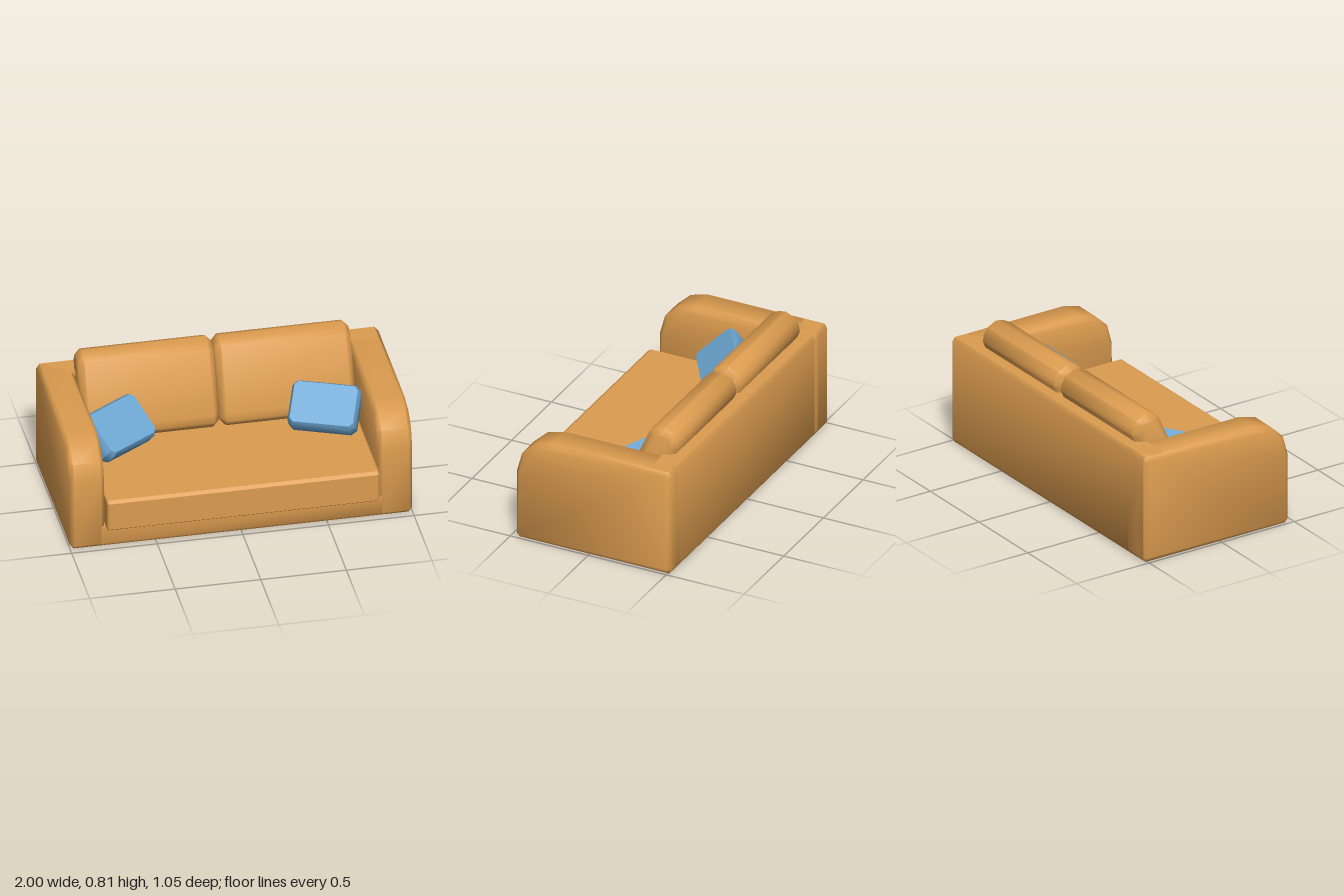
import * as THREE from 'three';
import { toCreasedNormals } from 'three/addons/utils/BufferGeometryUtils.js';

const fabric = new THREE.MeshStandardMaterial({ name: 'tanFabric', color: 0xdc9c4f });
const pillowBlue = new THREE.MeshStandardMaterial({ name: 'bluePillow', color: 0x6ca6d2 });

// Extrude an outline with one-step bevels that stay inside the given size.
function slab(points, length, bevel, thickness = bevel) {
  const shape = new THREE.Shape(points.map(([x, y]) => new THREE.Vector2(x, y)));
  return new THREE.ExtrudeGeometry(shape, {
    depth: length - 2 * thickness,
    bevelEnabled: bevel > 0,
    bevelSize: bevel,
    bevelOffset: -bevel,
    bevelThickness: thickness,
    bevelSegments: 1,
  }).translate(0, 0, thickness);
}

// Side profile given as [z, y], running across x from x0 to x1.
function sidePart(name, profile, x0, x1, bevel, crease = 0.9) {
  const geo = slab(profile.map(([z, y]) => [-z, y]), x1 - x0, bevel);
  geo.rotateY(Math.PI / 2).translate(x0, 0, 0);
  const mesh = new THREE.Mesh(toCreasedNormals(geo, crease), fabric);
  mesh.name = name;
  return mesh;
}

// Pillow placed by three corners of its front face.
function pillow(name, topLeft, topRight, bottomRight) {
  const [a, b, c] = [topLeft, topRight, bottomRight].map((p) => new THREE.Vector3(...p));
  const u = b.clone().sub(a);
  const v = b.clone().sub(c);
  const w = u.length() / 2 + 0.012;
  const h = v.length() / 2 + 0.012;
  u.normalize();
  v.addScaledVector(u, -u.dot(v)).normalize();
  const n = u.clone().cross(v);
  const k = 0.03;
  const outline = [
    [-w + k, -h], [w - k, -h], [w, -h + k], [w, h - k],
    [w - k, h], [-w + k, h], [-w, h - k], [-w, -h + k],
  ];
  const geo = slab(outline, 0.135, 0.014, 0.028).translate(0, 0, -0.135);
  const mid = a.add(c).multiplyScalar(0.5);
  geo.applyMatrix4(new THREE.Matrix4().makeBasis(u, v, n).setPosition(mid));
  const mesh = new THREE.Mesh(toCreasedNormals(geo, 0.5), pillowBlue);
  mesh.name = name;
  return mesh;
}

export function createModel() {
  const sofa = new THREE.Group();
  sofa.name = 'sofa';

  // Base and backrest as one L-shaped section between the arms
  sofa.add(sidePart('baseAndBack', [
    [-0.51, 0], [0.45, 0], [0.465, 0.02], [0.465, 0.13], [-0.38, 0.13],
    [-0.38, 0.66], [-0.51, 0.66], [-0.525, 0.635], [-0.525, 0.025],
  ], -0.975, 0.975, 0));

  // Arms with a rounded upper front corner
  const armProfile = [
    [-0.51, 0], [0.45, 0], [0.468, 0.02], [0.467, 0.43], [0.435, 0.55],
    [0.35, 0.63], [0.24, 0.66], [-0.51, 0.66], [-0.525, 0.635], [-0.525, 0.025],
  ];
  sofa.add(sidePart('leftArm', armProfile, 0.8, 1, 0.022));
  sofa.add(sidePart('rightArm', armProfile, -1, -0.8, 0.022));

  // Seat cushion
  sofa.add(sidePart('seatCushion', [
    [-0.4, 0.13], [0.505, 0.13], [0.525, 0.145], [0.525, 0.315], [0.505, 0.33], [-0.4, 0.33],
  ], -0.795, 0.795, 0.01, 0.6));

  // Leaning back cushions
  const cushionProfile = [
    [-0.15, 0.335], [-0.118, 0.375], [-0.121, 0.43], [-0.28, 0.78], [-0.32, 0.802],
    [-0.37, 0.812], [-0.43, 0.783], [-0.455, 0.74], [-0.46, 0.7], [-0.31, 0.36], [-0.28, 0.335],
  ];
  sofa.add(sidePart('leftBackCushion', cushionProfile, 0.004, 0.795, 0.032));
  sofa.add(sidePart('rightBackCushion', cushionProfile, -0.795, -0.004, 0.032));

  // Throw pillows
  sofa.add(pillow('rightPillow', [-0.8, 0.6, 0.005], [-0.5, 0.6, -0.19], [-0.39, 0.43, -0.02]));
  sofa.add(pillow('leftPillow', [0.44, 0.575, -0.17], [0.785, 0.575, -0.03], [0.715, 0.42, 0.155]));

  return sofa;
}
